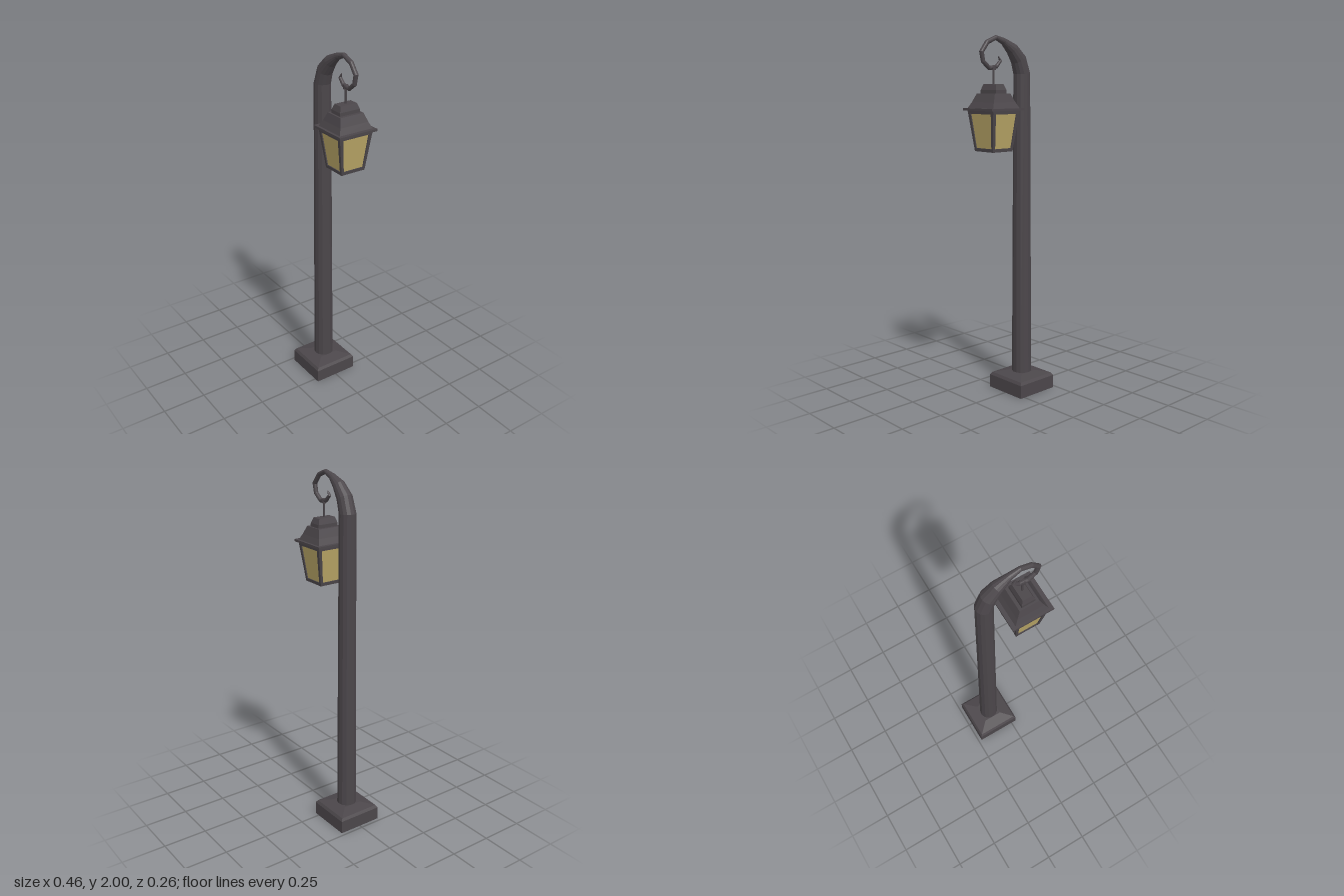
import * as THREE from 'three';

const iron = new THREE.MeshStandardMaterial({ color: 0x4b464a });
iron.name = 'dark iron';
const amber = new THREE.MeshStandardMaterial({ color: 0xb8a566 });
amber.name = 'amber glass';

// Skin closed rings of points with flat facets and end caps.
function skin(rings) {
  const n = rings[0].length, pos = [];
  const tri = (...pts) => pts.forEach(p => pos.push(p.x, p.y, p.z));
  for (let i = 0; i < rings.length - 1; i++) {
    for (let j = 0; j < n; j++) {
      const k = (j + 1) % n;
      const a = rings[i][j], b = rings[i][k], c = rings[i + 1][k], d = rings[i + 1][j];
      tri(a, b, c);
      tri(a, c, d);
    }
  }
  const first = rings[0], last = rings[rings.length - 1];
  for (let j = 1; j < n - 1; j++) {
    tri(first[0], first[j + 1], first[j]);
    tri(last[0], last[j], last[j + 1]);
  }
  const g = new THREE.BufferGeometry();
  g.setAttribute('position', new THREE.Float32BufferAttribute(pos, 3));
  g.computeVertexNormals();
  return g;
}

// Rectangular sections [y, halfX, halfZ, centreX, centreZ], bottom to top.
function rectLoft(sections) {
  return skin(sections.map(([y, hx, hz, cx = 0, cz = 0]) =>
    [[-1, 1], [1, 1], [1, -1], [-1, -1]].map(([sx, sz]) =>
      new THREE.Vector3(cx + sx * hx, y, cz + sz * hz))));
}

// Tapered tube along points [x, y, radius] in the z = 0 plane.
function taperedTube(path, sides) {
  return skin(path.map(([x, y, r], i) => {
    const p = path[Math.max(i - 1, 0)], q = path[Math.min(i + 1, path.length - 1)];
    const t = new THREE.Vector2(q[0] - p[0], q[1] - p[1]).normalize();
    return Array.from({ length: sides }, (_, j) => {
      const a = (j + 0.5) / sides * Math.PI * 2;
      const u = Math.cos(a) * r, w = -Math.sin(a) * r;
      return new THREE.Vector3(x + t.y * u, y - t.x * u, w);
    });
  }));
}

function add(parent, name, geometry, material = iron) {
  const mesh = new THREE.Mesh(geometry, material);
  mesh.name = name;
  parent.add(mesh);
  return mesh;
}

export function createModel() {
  const model = new THREE.Group();
  model.name = 'streetLamp';

  // Square plinth with a bevelled, gently sloping top
  add(model, 'base', rectLoft([
    [0, 0.13, 0.13], [0.075, 0.13, 0.13], [0.09, 0.12, 0.12], [0.105, 0.055, 0.055],
  ])).position.x = -0.1;

  // Tapering post that bends over into a curled arm
  add(model, 'postAndArm', taperedTube([
    [-0.1, 0.09, 0.056], [-0.095, 1.8, 0.046], [-0.07, 1.875, 0.043],
    [-0.022, 1.93, 0.034], [0.038, 1.968, 0.019], [0.095, 1.987, 0.013],
    [0.155, 1.963, 0.013], [0.195, 1.912, 0.013], [0.184, 1.862, 0.012],
    [0.141, 1.829, 0.012], [0.092, 1.837, 0.011], [0.062, 1.868, 0.009],
    [0.076, 1.89, 0.003],
  ], 14));

  // Lantern hanging from the curl
  const lantern = new THREE.Group();
  lantern.name = 'lantern';
  lantern.position.x = 0.112;
  model.add(lantern);

  add(lantern, 'hangerRod', new THREE.CylinderGeometry(0.006, 0.006, 0.1, 8)).position.y = 1.785;
  add(lantern, 'hangerKnot', new THREE.CylinderGeometry(0.014, 0.014, 0.022, 8)).position.y = 1.831;
  add(lantern, 'roofCap', rectLoft([
    [1.69, 0.038, 0.062], [1.715, 0.037, 0.061], [1.745, 0.027, 0.05],
  ]));
  add(lantern, 'roof', rectLoft([
    [1.615, 0.097, 0.104], [1.652, 0.076, 0.087], [1.697, 0.055, 0.072],
  ]));
  add(lantern, 'eaves', rectLoft([[1.608, 0.116, 0.116], [1.62, 0.116, 0.116]]));
  add(lantern, 'topRail', rectLoft([[1.59, 0.093, 0.101], [1.61, 0.095, 0.103]]));
  add(lantern, 'bottomRail', rectLoft([[1.39, 0.069, 0.072], [1.408, 0.071, 0.074]]));

  // Four leaning corner posts
  for (const sx of [-1, 1]) {
    for (const sz of [-1, 1]) {
      add(lantern, 'cornerPost', rectLoft([
        [1.39, 0.007, 0.007, sx * 0.063, sz * 0.066],
        [1.61, 0.01, 0.01, sx * 0.085, sz * 0.093],
      ]));
    }
  }

  // Glass body set just inside the frame
  add(lantern, 'glass', rectLoft([[1.4, 0.065, 0.068], [1.6, 0.088, 0.096]]), amber);

  return model;
}
